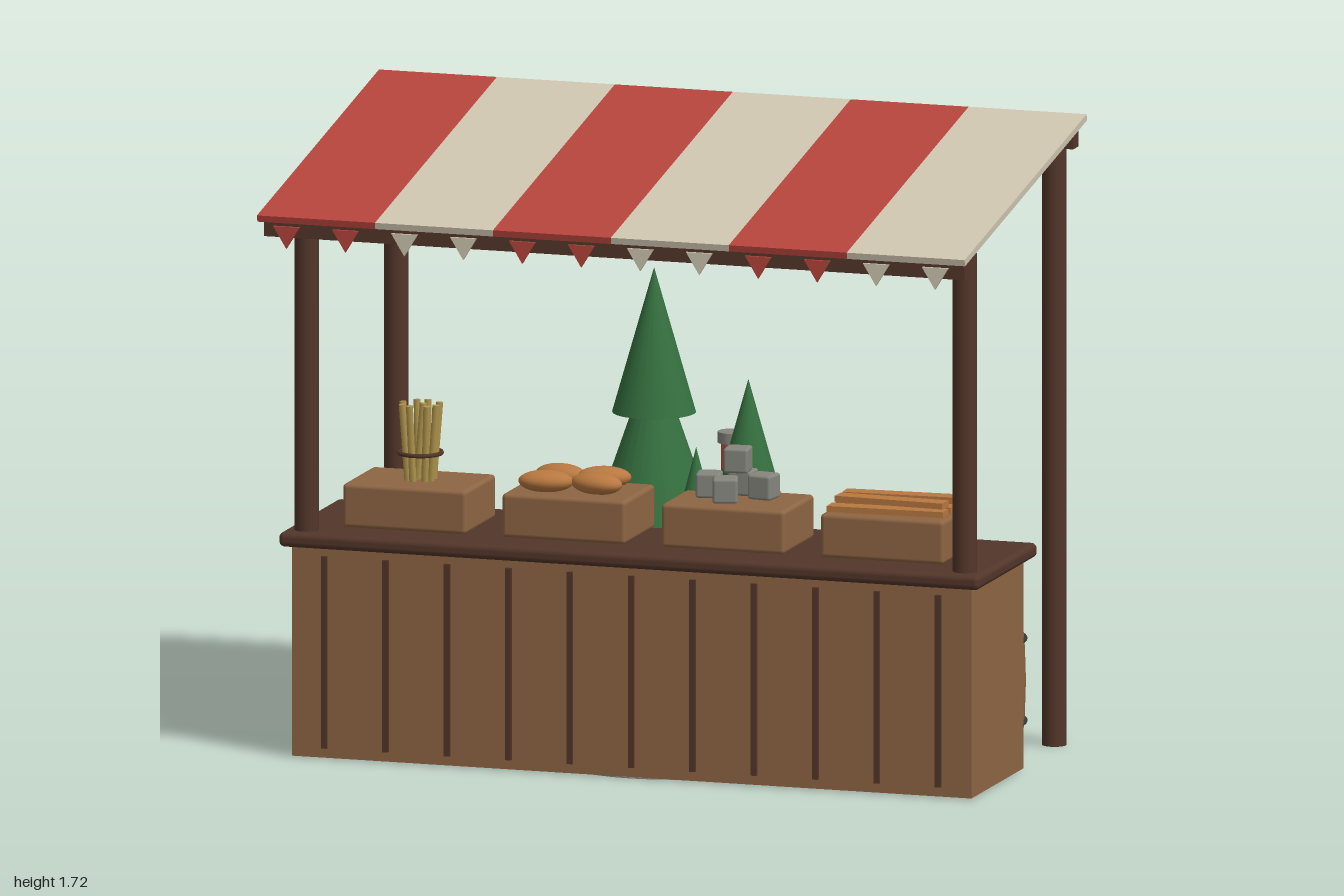
import * as THREE from 'three';
import { RoundedBoxGeometry } from 'three/addons/geometries/RoundedBoxGeometry.js';

const mat = (name, color) => Object.assign(new THREE.MeshStandardMaterial({ color }), { name });

export function createModel() {
  const root = new THREE.Group();
  root.name = 'marketStall';
  const M = {
    red: mat('awningRed', 0xb5453b), cream: mat('canvasCream', 0xcfc6b0),
    wood: mat('wood', 0x8e6643), dark: mat('darkWood', 0x53362a),
    green: mat('firGreen', 0x35703f), straw: mat('straw', 0xb0954c),
    crust: mat('crust', 0xb87840), grey: mat('stoneGrey', 0x86867f),
    black: mat('iron', 0x37383b), brick: mat('brickRed', 0xb45544),
  };
  M.red.side = M.cream.side = THREE.DoubleSide;

  const add = (name, geo, m, x = 0, y = 0, z = 0, rx = 0, ry = 0, rz = 0, parent = root) => {
    const mesh = new THREE.Mesh(geo, m);
    mesh.name = name;
    mesh.position.set(x, y, z);
    mesh.rotation.set(rx, ry, rz);
    parent.add(mesh);
    return mesh;
  };
  const box = (w, h, d) => new THREE.BoxGeometry(w, h, d);
  const cyl = (r, h, n = 20, r2 = r) => new THREE.CylinderGeometry(r2, r, h, n);
  const ball = (rx, ry, rz) => new THREE.SphereGeometry(1, 20, 14).scale(rx, ry, rz);

  // Counter with a rounded top and front battens
  add('counterBody', box(1.92, 0.58, 0.445), M.wood, 0, 0.293, 0.1225);
  add('counterTop', new RoundedBoxGeometry(1.98, 0.04, 0.51, 3, 0.015), M.dark, 0, 0.597, 0.12);
  for (let i = -5; i <= 5; i++)
    add('batten', box(0.016, 0.525, 0.012), M.dark, i * 0.1735, 0.292, 0.349);
  add('floorDisc', cyl(0.35, 0.003, 40), M.grey, 0, 0.0015, 0);

  // Posts and beams
  for (const s of [-1, 1]) {
    add('frontPost', cyl(0.033, 0.885), M.dark, s * 0.93, 1.0425, 0.31);
    add('backPost', cyl(0.033, 1.67), M.dark, s * 0.93, 0.835, -0.457);
  }
  add('frontBeam', box(1.98, 0.05, 0.047), M.dark, 0, 1.475, 0.472);
  add('backBeam', box(1.98, 0.05, 0.047), M.dark, 0, 1.66, -0.46);

  // Striped sloping awning
  const awning = new THREE.Group();
  awning.name = 'awning';
  awning.position.set(0, 1.605, 0);
  awning.rotation.x = 0.1937;
  root.add(awning);
  for (let i = 0; i < 6; i++)
    add('awningStripe', box(1 / 3, 0.018, 1.066), i % 2 ? M.cream : M.red, -5 / 6 + i / 3, 0, 0, 0, 0, 0, awning);

  // Row of pennants
  const flag = new THREE.Shape();
  flag.moveTo(-0.037, 0.06).lineTo(0, 0).lineTo(0.037, 0.06).closePath();
  const flagGeo = new THREE.ExtrudeGeometry(flag, { depth: 0.008, bevelEnabled: false });
  for (let i = 0; i < 12; i++)
    add('pennant', flagGeo, i % 4 < 2 ? M.red : M.cream, -0.917 + i / 6, 1.425, 0.518);

  // Display crates
  const crate = new RoundedBoxGeometry(0.35, 0.12, 0.26, 2, 0.012);
  for (const x of [-0.675, -0.225, 0.225, 0.675]) add('crate', crate, M.wood, x, 0.676, 0.12);

  // Tied bundle of sticks
  for (let i = 0; i < 9; i++) {
    const a = i * 2.4, r = i ? 0.045 : 0;
    add('stick', cyl(0.01, 0.21, 8), M.straw, -0.67 + r * Math.cos(a), 0.84, 0.125 + r * Math.sin(a),
      0.08 * Math.sin(a), 0, -0.08 * Math.cos(a));
  }
  add('bundleTie', new THREE.TorusGeometry(0.058, 0.006, 6, 24), M.dark, -0.67, 0.81, 0.125, Math.PI / 2);

  // Loaves
  for (const [x, z, t] of [[-0.3, 0.17, 0.2], [-0.16, 0.16, -0.2], [-0.29, 0.07, -0.2], [-0.17, 0.07, 0.3]])
    add('loaf', ball(0.075, 0.03, 0.045), M.crust, x, 0.762, z, 0, t);

  // Stone blocks
  for (const [x, y, z, t] of [[0.145, 0.772, 0.12, 0.2], [0.293, 0.772, 0.1, -0.15], [0.226, 0.845, 0.12, 0.1], [0.21, 0.772, 0.18, 0.3], [0.22, 0.772, 0.06, 0]])
    add('stoneBlock', new RoundedBoxGeometry(0.068, 0.068, 0.068, 2, 0.008), M.grey, x, y, z, 0, t);

  // Stacked boards
  for (let i = 0; i < 3; i++) add('board', box(0.325, 0.016, 0.05), M.crust, 0.672, 0.745, 0.045 + i * 0.073, 0, (i - 1) * 0.04);
  for (let i = 0; i < 2; i++) add('board', box(0.31, 0.016, 0.05), M.crust, 0.672, 0.764, 0.08 + i * 0.075, 0, 0.05 - i * 0.1);

  // Fir trees: [base y, top y, radius] for each tier
  const fir = (x, z, tiers) => {
    for (const [y0, y1, r] of tiers)
      add('firTier', new THREE.ConeGeometry(r, y1 - y0, 24), M.green, x, (y0 + y1) / 2, z);
  };
  fir(-0.1, -0.15, [[0.905, 1.3, 0.113], [0.605, 1.08, 0.165]]);
  add('firTrunk', cyl(0.03, 0.3), M.dark, -0.1, 0.47, -0.15);
  fir(0.15, -0.2, [[0.69, 1.0, 0.087], [0.47, 0.83, 0.127]]);
  add('firTrunk', cyl(0.025, 0.2), M.dark, 0.15, 0.4, -0.2);
  fir(0.075, 0.02, [[0.6, 0.85, 0.065]]);
  fir(-0.09, -0.22, [[0.335, 0.6, 0.1]]);

  // Brick workbench behind the counter
  add('benchBase', box(0.72, 0.07, 0.26), M.wood, 0, 0.06, -0.21);
  add('benchBody', box(0.64, 0.21, 0.23), M.brick, 0, 0.2, -0.195);
  add('benchTop', box(0.7, 0.035, 0.25), M.grey, 0, 0.317, -0.215);
  for (const s of [-1, 1]) {
    add('shelfPost', box(0.03, 0.13, 0.03), M.grey, s * 0.26, 0.395, -0.235);
    add('shelf', box(0.17, 0.025, 0.16), M.grey, s * 0.235, 0.468, -0.18);
  }
  add('redDome', new THREE.SphereGeometry(0.125, 12, 10), M.brick, 0.045, 0.42, -0.22);
  add('chimney', cyl(0.036, 0.45, 16, 0.03), M.brick, 0.085, 0.6, -0.26);
  add('chimneyCap', cyl(0.04, 0.03, 16), M.grey, 0.085, 0.827, -0.26);
  for (const [x, z] of [[-0.1, -0.32], [-0.14, -0.31], [0.27, -0.3]])
    add('woodChip', new THREE.ConeGeometry(0.013, 0.05, 6), M.straw, x, 0.357, z);

  // Sawn log with a pale end
  add('log', cyl(0.045, 0.22), M.dark, -0.16, 0.53, -0.15, 0, 0, Math.PI / 2);
  add('logEnd', cyl(0.038, 0.006), M.straw, -0.272, 0.53, -0.15, 0, 0, Math.PI / 2);

  // Iron wheel on the bench end
  add('wheel', cyl(0.085, 0.025, 24), M.black, -0.363, 0.31, -0.2, 0, 0, Math.PI / 2);
  add('wheelHub', cyl(0.02, 0.04, 12), M.grey, -0.363, 0.31, -0.2, 0, 0, Math.PI / 2);

  // Straw sacks
  for (const x of [-0.125, -0.33]) add('strawSack', ball(0.085, 0.11, 0.08), M.straw, x, 0.13, -0.39);

  // Barrels with iron hoops
  const staves = [[0, 0], [0.12, 0], [0.128, 0.1], [0.131, 0.193], [0.128, 0.285], [0.12, 0.385], [0, 0.385]]
    .map(([r, y]) => new THREE.Vector2(r, y));
  // doubled rim points keep the lids flat-edged
  const side = new THREE.LatheGeometry(staves.slice(1, 6), 28);
  for (const x of [-0.76, 0.755]) {
    add('barrel', side, M.wood, x, 0, -0.328);
    add('barrelLid', new THREE.CircleGeometry(0.12, 28), M.wood, x, 0.385, -0.328, -Math.PI / 2);
    add('barrelBottom', new THREE.CircleGeometry(0.12, 28), M.wood, x, 0, -0.328, Math.PI / 2);
    for (const y of [0.08, 0.305])
      add('barrelHoop', new THREE.TorusGeometry(0.128, 0.007, 8, 32), M.black, x, y, -0.328, Math.PI / 2);
  }
  return root;
}
